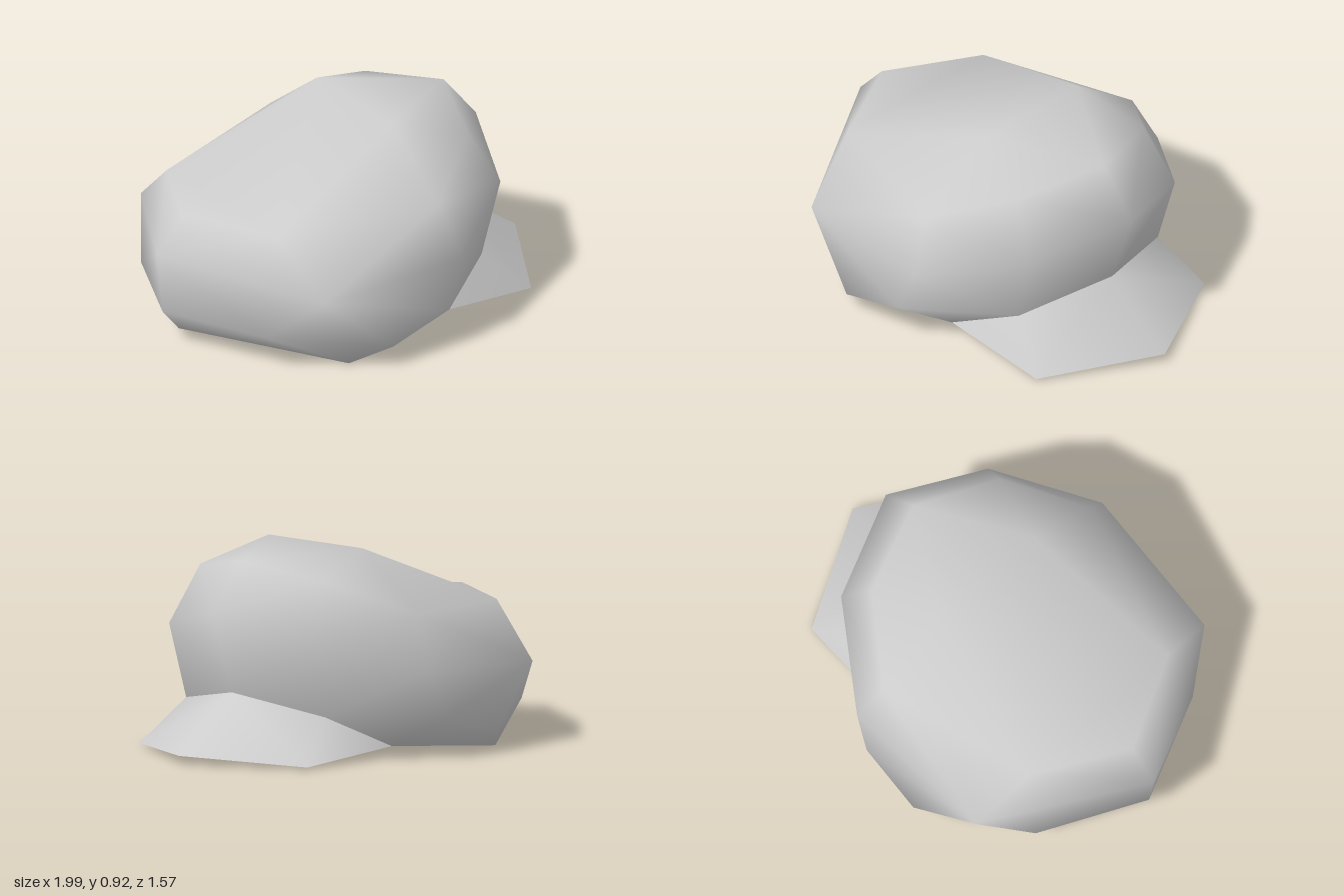
import * as THREE from 'three';

// Corners of the +z half; the -z half is mirrored
const P = {
  // top edge, back to front
  a0: [-0.86, 0.62, 0], a1: [-0.64, 0.615, 0.42], a2: [0.10, 0.915, 0.29],
  a3: [0.44, 0.81, 0.39], a4: [0.59, 0.88, 0],
  // shoulder and widest line
  e: [0.10, 0.65, 0.64],
  b0: [-1, 0.455, 0], b1: [-0.58, 0.37, 0.70], b2: [0.15, 0.41, 0.75],
  b3: [0.58, 0.55, 0.45], b4: [0.77, 0.665, 0],
  // lower bulge
  c0: [-0.97, 0.17, 0], c1: [-0.74, 0.16, 0.48], c2: [-0.26, 0.10, 0.785], c3: [0.06, 0.19, 0.775],
  // rim of the opening
  d0: [-0.88, 0.06, 0], d1: [-0.40, 0, 0.64], d2: [0.17, 0.05, 0.54],
  d3: [0.49, 0.205, 0.43], d4: [0.645, 0.29, 0],
  // brim edge and inner edge of its underside
  t: [0.99, 0.04, 0], s: [0.70, 0.01, 0.52],
  u0: [0.49, 0.15, 0], u1: [0.35, 0.12, 0.43],
};

// Smooth surface from a list of corner triples, mirrored in z, facing away from a point
function mirroredSurface(faces, centre) {
  const positions = [], index = [], ids = {};
  const vertex = (name, side) => {
    const [x, y, z] = P[name];
    const key = z === 0 ? name : name + side;
    if (!(key in ids)) {
      ids[key] = positions.length / 3;
      positions.push(x, y, z * side);
    }
    return ids[key];
  };
  const at = (i) => new THREE.Vector3().fromArray(positions, i * 3);
  const add = (i, j, k) => {
    const a = at(i), b = at(j), c = at(k);
    const n = b.clone().sub(a).cross(c.clone().sub(a));
    const out = a.clone().add(b).add(c).divideScalar(3).sub(centre);
    if (n.dot(out) < 0) index.push(i, k, j);
    else index.push(i, j, k);
  };
  for (const face of faces) {
    const names = face.split(' ');
    // a trailing * marks a corner on the opposite half
    const corners = (side) => names.map((n) => (n.endsWith('*') ? vertex(n.slice(0, -1), -side) : vertex(n, side)));
    add(...corners(1));
    if (!face.includes('*')) add(...corners(-1));
  }
  const g = new THREE.BufferGeometry();
  g.setAttribute('position', new THREE.Float32BufferAttribute(positions, 3));
  g.setIndex(index);
  g.computeVertexNormals();
  return g;
}

export function createModel() {
  const group = new THREE.Group();
  group.name = 'cap';
  const cloth = new THREE.MeshStandardMaterial({ color: 0xcccccc, side: THREE.DoubleSide });
  cloth.name = 'grey cloth';

  const part = (name, faces, centre) => {
    const mesh = new THREE.Mesh(mirroredSurface(faces, new THREE.Vector3(...centre)), cloth);
    mesh.name = name;
    group.add(mesh);
  };

  // Crown: top, shoulders, sides, then the tuck in to the rim
  part('crown', [
    'a0 a1 a1*', 'a1 a2 a2*', 'a1 a2* a1*', 'a2 a4 a2*', 'a2 a3 a4',
    'a0 a1 b0', 'a1 b1 b0', 'a1 e b1', 'a1 a2 e', 'a2 a3 e', 'a3 b3 e',
    'e b2 b1', 'e b3 b2', 'a3 a4 b4', 'a3 b4 b3',
    'b0 b1 c1', 'b0 c1 c0', 'b1 c1 c2', 'b1 c2 c3', 'b1 b2 c3',
    'b2 c3 d3', 'b2 b3 d3', 'b3 b4 d4', 'b3 d4 d3',
    'c0 c1 d0', 'c1 d1 d0', 'c1 c2 d1', 'c2 c3 d2', 'c2 d2 d1', 'c3 d3 d2',
  ], [0, 0.4, 0]);

  // Brim
  part('brimTop', ['d4 d3 s', 'd4 s t', 'd3 d2 s'], [0.4, -2, 0]);
  part('brimUnderside', ['u0 u1 s', 'u0 s t', 'u1 d2 s'], [0.4, 2, 0]);
  part('brimInnerEdge', ['u0 u1 d3', 'u0 d3 d4', 'u1 d2 d3'], [2, 0.2, 0]);

  return group;
}
